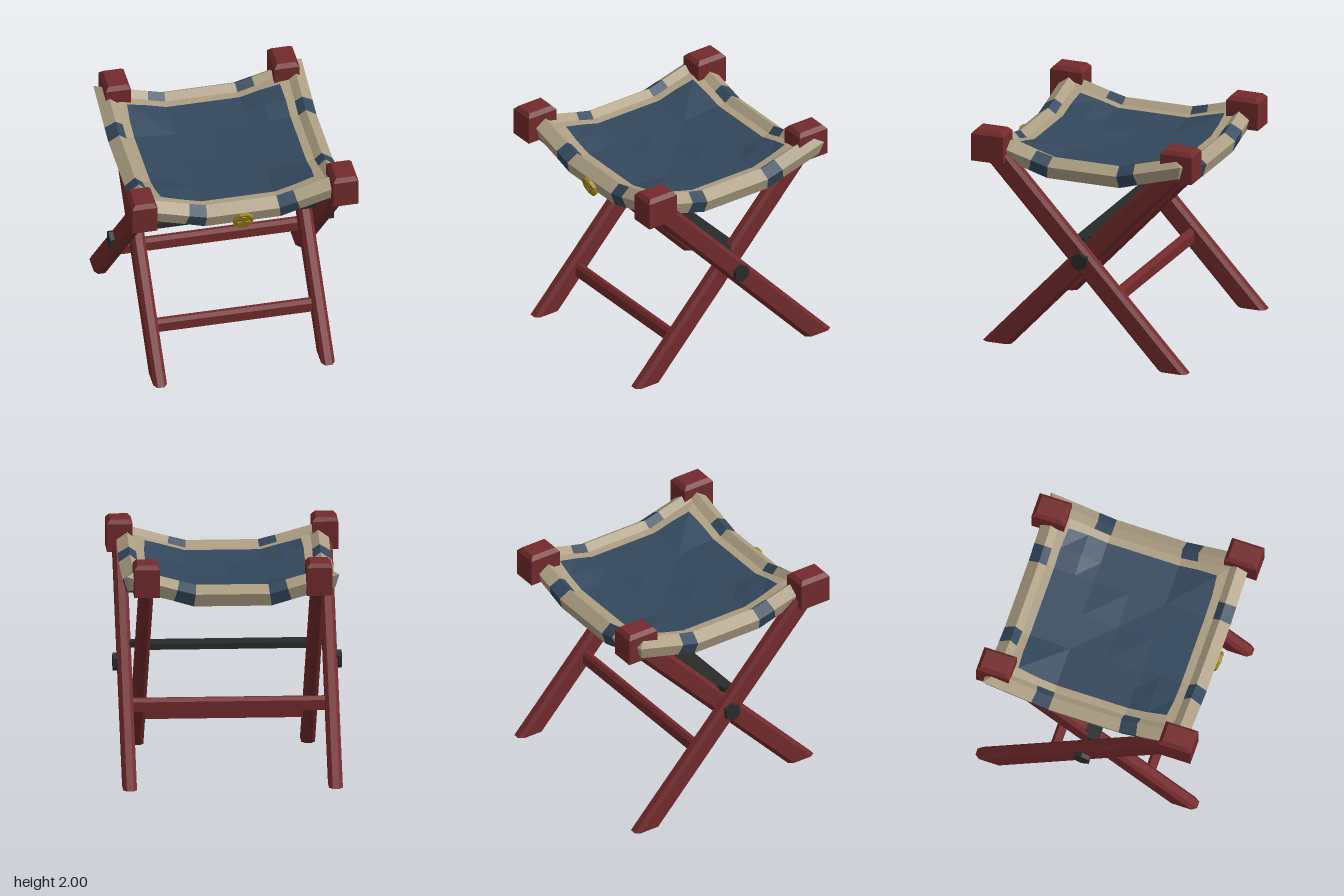
import * as THREE from 'three';

const mat = (name, color) => {
  const m = new THREE.MeshStandardMaterial({ color });
  m.name = name;
  return m;
};

export function createModel() {
  const group = new THREE.Group();
  const red = mat('red wood', 0x722a2c);
  const tan = mat('tan canvas', 0xab9d82);
  const blue = mat('blue canvas', 0x33475c);
  const black = mat('black iron', 0x292b2b);
  const gold = mat('gold', 0x9c801e);

  const add = (name, geometry, material, x = 0, y = 0, z = 0) => {
    const g = geometry.index ? geometry.toNonIndexed() : geometry;
    g.computeVertexNormals();
    const mesh = new THREE.Mesh(g, material);
    mesh.name = name;
    mesh.position.set(x, y, z);
    group.add(mesh);
    return mesh;
  };
  const prism = (pts, depth) => new THREE.ExtrudeGeometry(
    new THREE.Shape(pts.map(p => new THREE.Vector2(...p))), { depth, bevelEnabled: false });
  // list of four-corner faces to a flat geometry
  const fromQuads = quads => new THREE.BufferGeometry().setFromPoints(
    quads.flatMap(([a, b, c, d]) => [a, b, c, a, c, d]));

  // Crossed legs: chamfered posts sheared along z, cut level with the ground
  const legSection = [[-0.06, -0.09], [-0.03, -0.133], [0.03, -0.133], [0.06, -0.09],
    [0.06, 0.09], [0.03, 0.133], [-0.03, 0.133], [-0.06, 0.09]];
  const leg = dir => {
    const g = prism(legSection, 1.79).rotateX(-Math.PI / 2);
    return g.applyMatrix4(new THREE.Matrix4().set(
      1, 0, 0, 0, 0, 1, 0, 0, 0, 0.931 * dir, 1, -0.852 * dir, 0, 0, 0, 1));
  };
  // Post caps with a chamfered top
  const cap = () => {
    const g = new THREE.BoxGeometry(0.222, 0.28, 0.295, 1, 2, 1);
    const p = g.attributes.position;
    for (let i = 0; i < p.count; i++) {
      const y = p.getY(i);
      if (y > 0.1) p.setXYZ(i, p.getX(i) * 0.72, y, p.getZ(i) * 0.79);
      else if (y > -0.1) p.setY(i, 0.105);
    }
    return g;
  };
  for (const s of [1, -1]) {
    const side = s > 0 ? 'left' : 'right';
    add(side + 'OuterLeg', leg(1), red, s * 0.89);
    add(side + 'InnerLeg', leg(-1), red, s * 0.742);
    add(side + 'FrontCap', cap(), red, s * 0.889, 1.86, 0.852);
    add(side + 'BackCap', cap(), red, s * 0.746, 1.86, -0.852);
    add(side + 'PivotBolt', new THREE.CylinderGeometry(0.08, 0.08, 0.06, 6).rotateZ(Math.PI / 2)
      .rotateX(Math.PI / 2), black, s * 0.96, 0.917, 0);
  }

  // Stretchers between the legs
  const stretcher = half => prism([[-0.04, -0.058], [0.04, -0.058], [0.04, 0.028],
    [0.015, 0.058], [-0.015, 0.058], [-0.04, 0.028]], half * 2)
    .translate(0, 0, -half).rotateY(Math.PI / 2);
  add('frontStretcher', stretcher(0.7), red, 0, 0.343, 0.53);
  add('backStretcher', stretcher(0.84), red, 0, 0.603, -0.29);
  // Flat iron bar in the fork of the legs, narrowed where it enters the inner pair
  add('ironBar', prism([[-0.84, -0.1], [0.84, -0.1], [0.84, -0.01], [0.78, 0.01], [0.78, 0.095],
    [-0.78, 0.095], [-0.78, 0.01], [-0.84, -0.01]], 0.05).rotateX(-Math.PI / 2), black, 0, 1.04, 0);

  // Sagging rolled hem: five-sided tube, mitred at the corners
  const R = 0.83;
  const lift = d => 0.14 * Math.max(0, (Math.abs(d) - 0.325) / (R - 0.325));
  const section = [[-0.005, 0.095], [0.09, 0.028], [0.058, -0.083], [-0.07, -0.083], [-0.085, 0.03]];
  const stations = [-R, -0.485, -0.325, 0.325, 0.485, R];
  const hemPoint = (s, [r, h]) => {
    const a = Math.abs(s);
    const slant = a < 0.4 ? 0.14 : 0.28;
    const x = a === R ? R + r : a - h * slant;
    // keep the sloping faces flat along the run
    const y = 1.695 + h + lift(s) + (a === R ? r * 0.28 : a > 0.4 ? -h * slant * 0.28 : 0);
    return new THREE.Vector3(Math.sign(s) * x, y, R + r);
  };
  ['front', 'left', 'back', 'right'].forEach((side, k) => {
    const runs = { Hem: [], HemStripes: [] };
    for (let i = 0; i < 5; i++) {
      for (let j = 0; j < section.length; j++) {
        const p = section[j], q = section[(j + 1) % section.length];
        const [s0, s1] = [stations[i], stations[i + 1]];
        runs[i % 2 ? 'HemStripes' : 'Hem'].push(
          [hemPoint(s0, p), hemPoint(s0, q), hemPoint(s1, q), hemPoint(s1, p)]);
      }
    }
    add(side + 'Hem', fromQuads(runs.Hem).rotateY(k * Math.PI / 2), tan);
    add(side + 'HemStripes', fromQuads(runs.HemStripes).rotateY(k * Math.PI / 2), blue);
  });

  // Seat cloth: blue panel with gently bowed edges, a tan border and a tan underside
  const grid = [-0.78, -0.69, -0.5, -0.325, 0, 0.325, 0.5, 0.69, 0.78];
  const cloth = (i, j, drop) => {
    const corner = Math.abs(grid[i]) === 0.69 && Math.abs(grid[j]) === 0.69 ? 0.98 : 1;
    const x = grid[i] * corner, z = grid[j] * corner;
    const far = Math.max(Math.abs(x), Math.abs(z)), near = Math.min(Math.abs(x), Math.abs(z));
    return new THREE.Vector3(x, 1.675 + 0.065 * far / 0.78 + lift(near) - drop, z);
  };
  const panel = [], border = [], under = [];
  for (let i = 0; i < 8; i++) {
    for (let j = 0; j < 8; j++) {
      const face = d => [cloth(i, j, d), cloth(i, j + 1, d), cloth(i + 1, j + 1, d), cloth(i + 1, j, d)];
      const edge = i === 0 || j === 0 || i === 7 || j === 7;
      (edge ? border : panel).push(face(0));
      under.push(face(0.02).reverse());
    }
  }
  add('seatPanel', fromQuads(panel), blue);
  add('seatBorder', fromQuads(border), tan);
  add('seatUnderside', fromQuads(under), tan);

  // Octagonal medallion lying on the sloping face of the front hem
  const medallion = new THREE.Group();
  medallion.name = 'medallion';
  medallion.position.set(0, 1.637, 0.907);
  medallion.rotation.x = 0.31;
  medallion.add(add('medallionDisc', new THREE.CylinderGeometry(0.092, 0.092, 0.036, 8)
    .rotateY(Math.PI / 8).rotateX(Math.PI / 2), gold));
  medallion.add(add('medallionMount', new THREE.BoxGeometry(0.07, 0.05, 0.05), gold, 0, -0.05, -0.035));
  for (let k = 0; k < 3; k++) {
    const a = Math.PI / 2 + k * Math.PI * 2 / 3;
    medallion.add(add('medallionStud', new THREE.CylinderGeometry(0.03, 0.033, 0.008, 5)
      .rotateX(Math.PI / 2), gold, Math.cos(a) * 0.042, Math.sin(a) * 0.042, 0.021));
  }
  group.add(medallion);
  return group;
}
